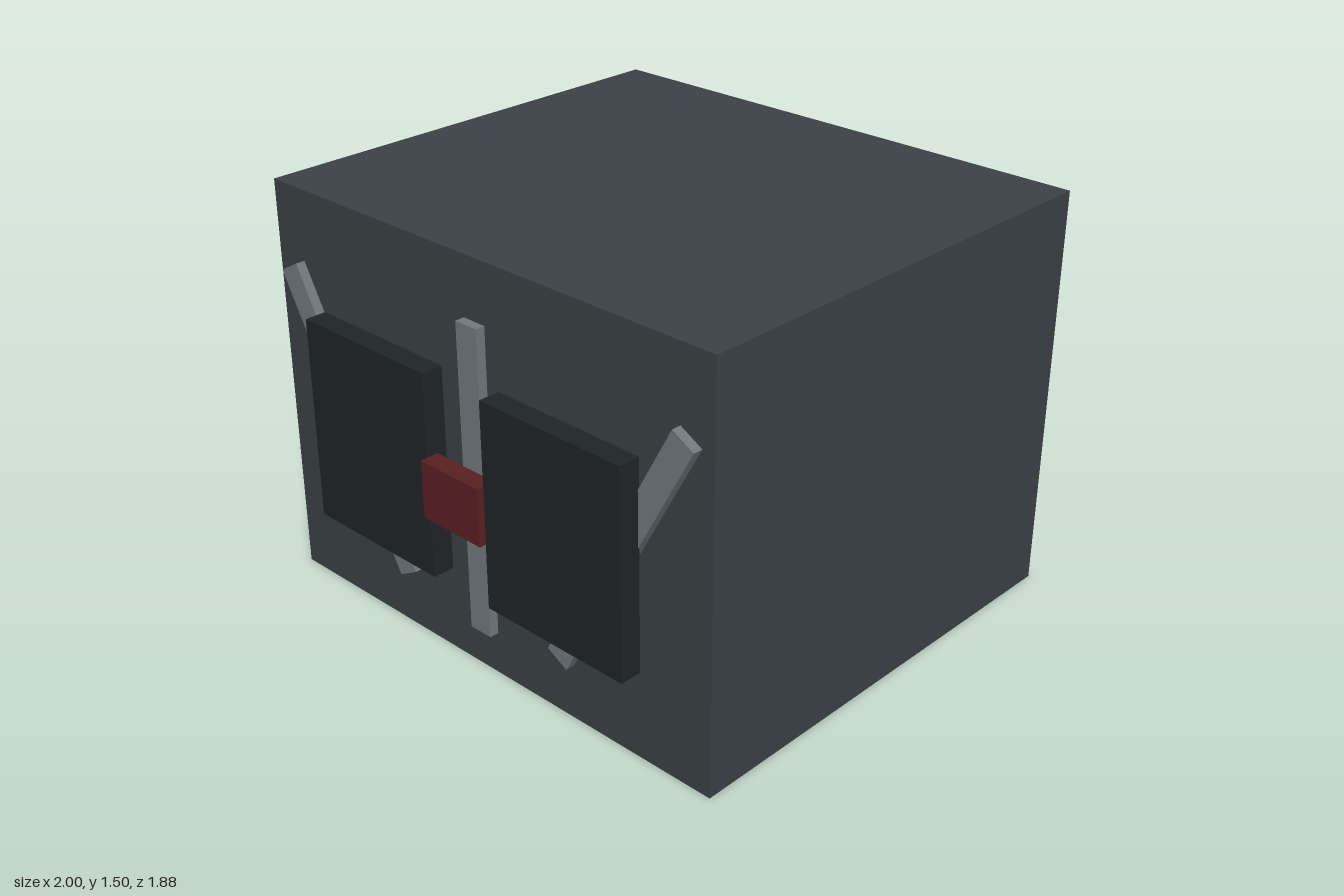
import * as THREE from 'three';

const paint = (color) => new THREE.MeshStandardMaterial({ color });

export function createModel() {
  const model = new THREE.Group();
  model.name = 'strappedCrate';
  const bodyPaint = paint(0x3a4145);
  const strapPaint = paint(0x70787c);
  const panelPaint = paint(0x1f2427);
  const latchPaint = paint(0x5a2023);

  function block(name, material, size, position, tilt = 0) {
    const mesh = new THREE.Mesh(new THREE.BoxGeometry(...size), material);
    mesh.name = name;
    mesh.position.set(...position);
    mesh.rotation.z = tilt;
    model.add(mesh);
  }

  // Main body
  block('body', bodyPaint, [2, 1.5, 1.745], [0, 0.75, -0.0675]);

  // Upright strap in the middle of the front
  const strapSize = [0.095, 1.125, 0.07];
  block('centerStrap', strapPaint, strapSize, [0, 0.7225, 0.805]);

  // Mirrored slanted straps and the raised panels over them
  for (const [side, s] of [['left', 1], ['right', -1]]) {
    block(side + 'Strap', strapPaint, strapSize, [s * 0.64, 0.7225, 0.805], -s * 0.5);
    block(side + 'Panel', panelPaint, [0.6, 0.75, 0.08], [s * 0.434, 0.725, 0.874]);
  }

  // Red latch bridging the panels
  block('latch', latchPaint, [0.27, 0.21, 0.07], [0, 0.695, 0.905]);

  return model;
}
